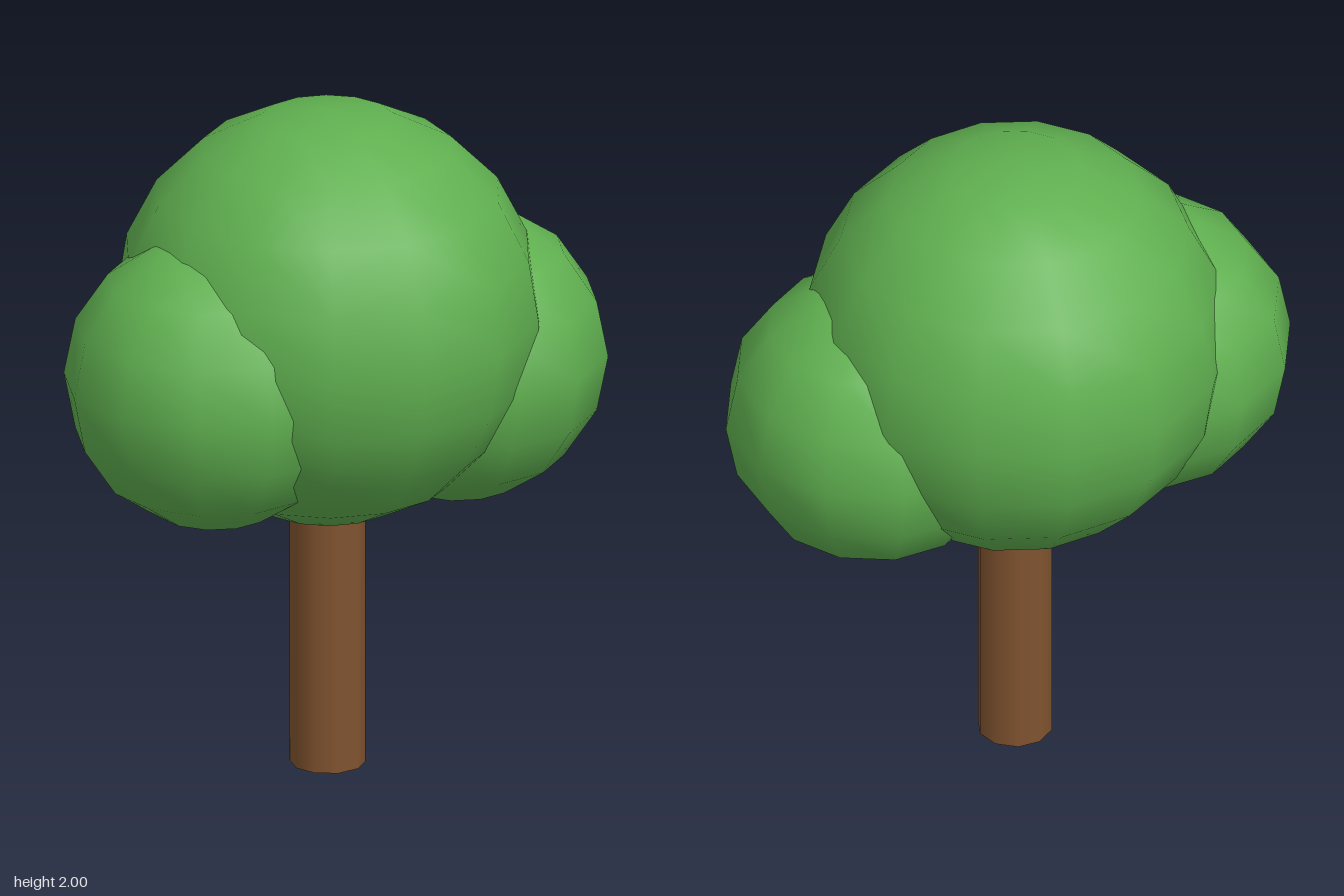
import * as THREE from 'three';

export function createModel() {
  const tree = new THREE.Group();
  tree.name = 'tree';

  const bark = new THREE.MeshStandardMaterial({ color: 0x80532f });
  bark.name = 'bark brown';
  const leaf = new THREE.MeshStandardMaterial({ color: 0x60b050 });
  leaf.name = 'leaf green';

  // Straight ten-sided trunk, its top hidden inside the crown
  const trunkHeight = 0.95;
  const trunk = new THREE.Mesh(new THREE.CylinderGeometry(0.109, 0.109, trunkHeight, 10), bark);
  trunk.name = 'trunk';
  trunk.position.y = trunkHeight / 2;
  tree.add(trunk);

  // Smooth, coarse-outlined balls of foliage
  function addFoliage(name, radius, columns, rows, x, y, z) {
    const geometry = new THREE.SphereGeometry(radius, columns, rows);
    geometry.rotateY(Math.PI / 2); // puts a column of vertices on +z
    const ball = new THREE.Mesh(geometry, leaf);
    ball.name = name;
    ball.position.set(x, y, z);
    tree.add(ball);
  }

  addFoliage('mainCrown', 0.62, 14, 10, 0, 1.38, 0);
  addFoliage('leftFoliage', 0.435, 12, 8, 0.375, 1.19, 0.185);
  addFoliage('rightFoliage', 0.435, 12, 8, -0.375, 1.253, -0.125);

  return tree;
}
